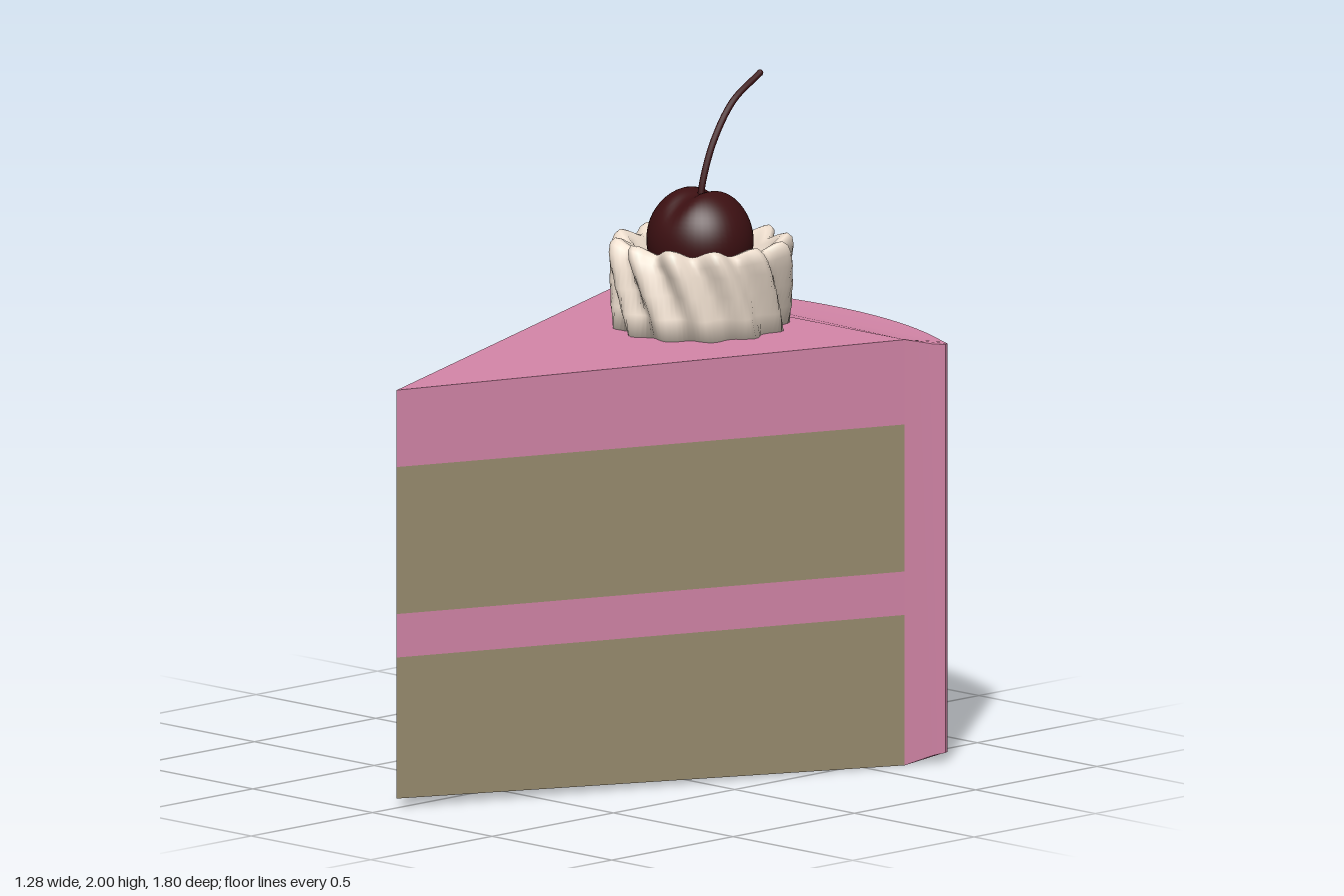
import * as THREE from 'three';
import { mergeVertices, toCreasedNormals } from 'three/addons/utils/BufferGeometryUtils.js';

const TIP = 0.9, CHORD = -0.61, HALF = 0.592, CREAM_Z = -0.355;
const LOBES = 12;

const material = (color) => new THREE.MeshStandardMaterial({ color });
const frosting = material(0xd486a8);
const sponge = material(0x9a8d70);
const cream = material(0xf0e0d0);
const cherryRed = material(0x3c1012);

function add(group, name, geometry, mat) {
  const mesh = new THREE.Mesh(geometry, mat);
  mesh.name = name;
  group.add(mesh);
  return mesh;
}

// The slice swells slightly at top and bottom, most of all where sponge meets back icing
const swell = (z) => THREE.MathUtils.clamp(
  Math.min((TIP - z) / (TIP - CHORD), 1 - (CHORD - z) / 0.1), 0, 1);
const bottomY = (z) => 0.028 * (1 - swell(z));
const topY = (z) => 1.25 + 0.024 * swell(z);

// Upright slab from an [x, z] outline; lower and upper heights may depend on z
function slab(outline, lower, upper) {
  const shape = new THREE.Shape(outline.map(([x, z]) => new THREE.Vector2(x, -z)));
  const geo = new THREE.ExtrudeGeometry(shape, { depth: 1, bevelEnabled: false });
  geo.rotateX(-Math.PI / 2);
  const p = geo.attributes.position;
  for (let i = 0; i < p.count; i++) {
    const z = p.getZ(i);
    p.setY(i, THREE.MathUtils.lerp(lower(z), upper(z), p.getY(i)));
  }
  return toCreasedNormals(geo, 0.6);
}

// Recompute smooth normals with the seam welded
function smooth(geo) {
  geo.deleteAttribute('uv');
  geo.deleteAttribute('normal');
  const merged = mergeVertices(geo, 1e-4);
  merged.computeVertexNormals();
  return merged;
}

// Outline of the back icing: straight inner chord, rounded corners, curved outer wall
function backOutline() {
  const corner = [[HALF, CHORD], [0.625, -0.69], [0.642, -0.728], [0.635, -0.743]];
  const arc = [];
  const radius = 1.335, sweep = Math.asin(0.605 / radius);
  for (let i = 0; i <= 24; i++) {
    const a = sweep * (1 - i / 12);
    arc.push([radius * Math.sin(a), 0.435 - radius * Math.cos(a)]);
  }
  const mirrored = corner.map(([x, z]) => [-x, z]).reverse();
  return [...corner, ...arc, ...mirrored];
}

// Fluted, twisted cup of whipped cream
function creamGeometry() {
  const profile = [
    [0, -0.02], [0.245, -0.02], [0.248, 0.06], [0.253, 0.13], [0.257, 0.19], [0.258, 0.225],
    [0.252, 0.25], [0.238, 0.262], [0.22, 0.258], [0.2, 0.235], [0.18, 0.19], [0.15, 0.15], [0, 0.13],
  ].map(([r, y]) => new THREE.Vector2(r, y));
  const geo = new THREE.LatheGeometry(profile, LOBES * 10);
  const p = geo.attributes.position;
  for (let i = 0; i < p.count; i++) {
    const x = p.getX(i), y = p.getY(i), z = p.getZ(i);
    const r = Math.hypot(x, z);
    const wave = Math.cos(LOBES * (Math.atan2(x, z) + 1.9 * (y - 0.24) + 0.07));
    const k = 1 + 0.075 * wave * THREE.MathUtils.smoothstep(r, 0.12, 0.24);
    const rim = THREE.MathUtils.smoothstep(y, 0.18, 0.26) * 0.012;
    p.setXYZ(i, x * k, y + rim * (wave - 0.5), z * k);
  }
  return smooth(geo);
}

// Cherry with a shallow cleft running front to back over its top
function cherryGeometry() {
  const geo = new THREE.SphereGeometry(1, 48, 32);
  geo.scale(0.165, 0.162, 0.15);
  const p = geo.attributes.position;
  for (let i = 0; i < p.count; i++) {
    const x = p.getX(i), y = p.getY(i);
    const cleft = Math.exp(-((x / 0.035) ** 2)) * THREE.MathUtils.smoothstep(y, 0, 0.16);
    p.setY(i, y - 0.024 * cleft);
  }
  return smooth(geo);
}

export function createModel() {
  const group = new THREE.Group();
  group.name = 'cakeSlice';

  // Wedge layers, from the bottom up
  const wedge = [[0, TIP], [HALF, CHORD], [-HALF, CHORD]];
  const at = (y) => () => y;
  const layers = [
    ['lowerSponge', sponge, bottomY, at(0.45)],
    ['filling', frosting, at(0.45), at(0.58)],
    ['upperSponge', sponge, at(0.58), at(1.02)],
    ['topIcing', frosting, at(1.02), topY],
  ];
  for (const [name, mat, lower, upper] of layers) add(group, name, slab(wedge, lower, upper), mat);
  add(group, 'backIcing', slab(backOutline(), bottomY, topY), frosting);

  // Topping
  add(group, 'whippedCream', creamGeometry(), cream).position.set(0, 1.27, CREAM_Z);
  add(group, 'cherry', cherryGeometry(), cherryRed).position.set(0, 1.525, -0.35);

  const stemPath = new THREE.CatmullRomCurve3([
    [1.64, -0.35], [1.7, -0.362], [1.81, -0.405], [1.92, -0.485], [1.99, -0.597],
  ].map(([y, z]) => new THREE.Vector3(0, y, z)));
  add(group, 'cherryStem', new THREE.TubeGeometry(stemPath, 32, 0.01, 10), cherryRed);
  // Rounded end of the stem
  add(group, 'stemEnd', new THREE.SphereGeometry(0.01, 10, 8), cherryRed).position.set(0, 1.99, -0.597);

  return group;
}
